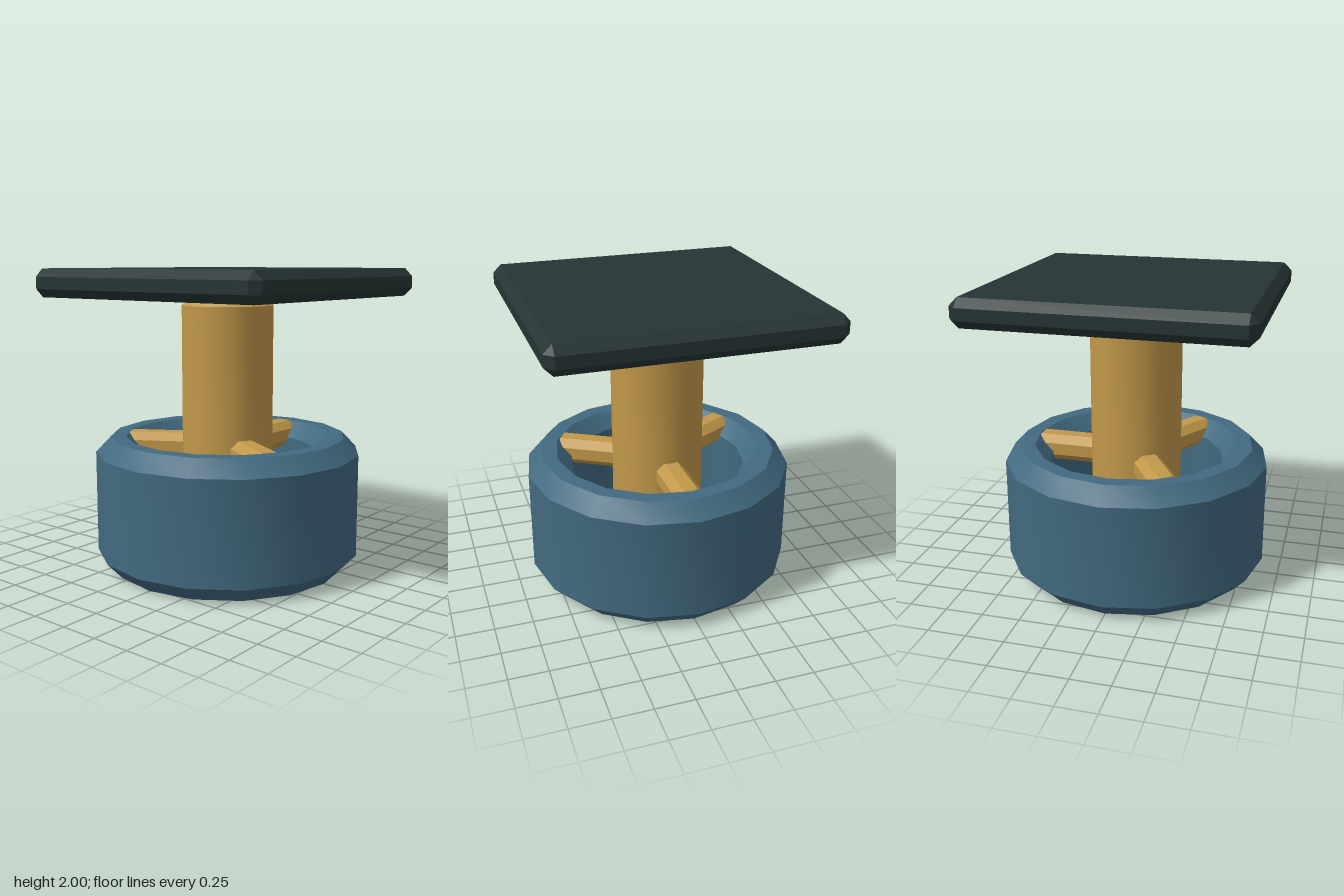
import * as THREE from 'three';
import { toCreasedNormals } from 'three/addons/utils/BufferGeometryUtils.js';
import { ConvexGeometry } from 'three/addons/geometries/ConvexGeometry.js';

const blue = new THREE.MeshStandardMaterial({ color: 0x426a80 });
blue.name = 'steelBlue';
const gold = new THREE.MeshStandardMaterial({ color: 0xc2984a });
gold.name = 'ochre';
const dark = new THREE.MeshStandardMaterial({ color: 0x263434 });
dark.name = 'darkSlate';

// Box with every edge cut at 45 degrees
function chamferBox(w, h, d, c) {
  const points = [];
  for (const x of [-1, 1]) for (const y of [-1, 1]) for (const z of [-1, 1]) {
    for (let inset = 0; inset < 3; inset++) {
      const cut = [c, c, c];
      cut[inset] = 0;
      points.push(new THREE.Vector3(
        x * (w / 2 - cut[0]), y * (h / 2 - cut[1]), z * (d / 2 - cut[2])));
    }
  }
  return new ConvexGeometry(points);
}

// Turned part: smooth around, sharp at the chamfers
function turned(profile, sides) {
  const points = profile.map(([r, y]) => new THREE.Vector2(r, y));
  return toCreasedNormals(new THREE.LatheGeometry(points, sides), 0.6);
}

export function createModel() {
  const group = new THREE.Group();
  const add = (name, geometry, material, parent = group) => {
    const mesh = new THREE.Mesh(geometry, material);
    mesh.name = name;
    parent.add(mesh);
    return mesh;
  };

  // Thick hollow base ring, chamfered inside and out
  add('baseRing', turned([
    [0.69, 0], [0.79, 0], [0.89, 0.105], [0.89, 0.785], [0.79, 0.89],
    [0.69, 0.89], [0.59, 0.785], [0.59, 0.105], [0.69, 0],
  ], 16), blue);

  // Grille slats across the bottom opening
  const grille = new THREE.Group();
  grille.name = 'grille';
  group.add(grille);
  for (let i = -2; i <= 2; i++) {
    const z = i * 0.23;
    const length = 2 * Math.sqrt(0.66 ** 2 - z * z);
    add('slat', new THREE.BoxGeometry(length, 0.09, 0.155), blue, grille)
      .position.set(0, 0.145, z);
  }

  // Central post
  add('post', turned([
    [0, 0.38], [0.25, 0.38], [0.307, 0.44], [0.307, 1.76], [0.25, 1.82], [0, 1.82],
  ], 16), gold);

  // Three arms joining the post to the ring
  for (let i = 0; i < 3; i++) {
    const pivot = new THREE.Group();
    pivot.name = 'arm';
    pivot.rotation.y = (i * Math.PI * 2) / 3;
    group.add(pivot);
    add('armBar', chamferBox(0.54, 0.18, 0.19, 0.05), gold, pivot)
      .position.set(0.45, 0.805, 0);
  }

  // Square top plate
  add('topPlate', chamferBox(1.81, 0.185, 1.81, 0.054), dark)
    .position.y = 1.9075;

  return group;
}
